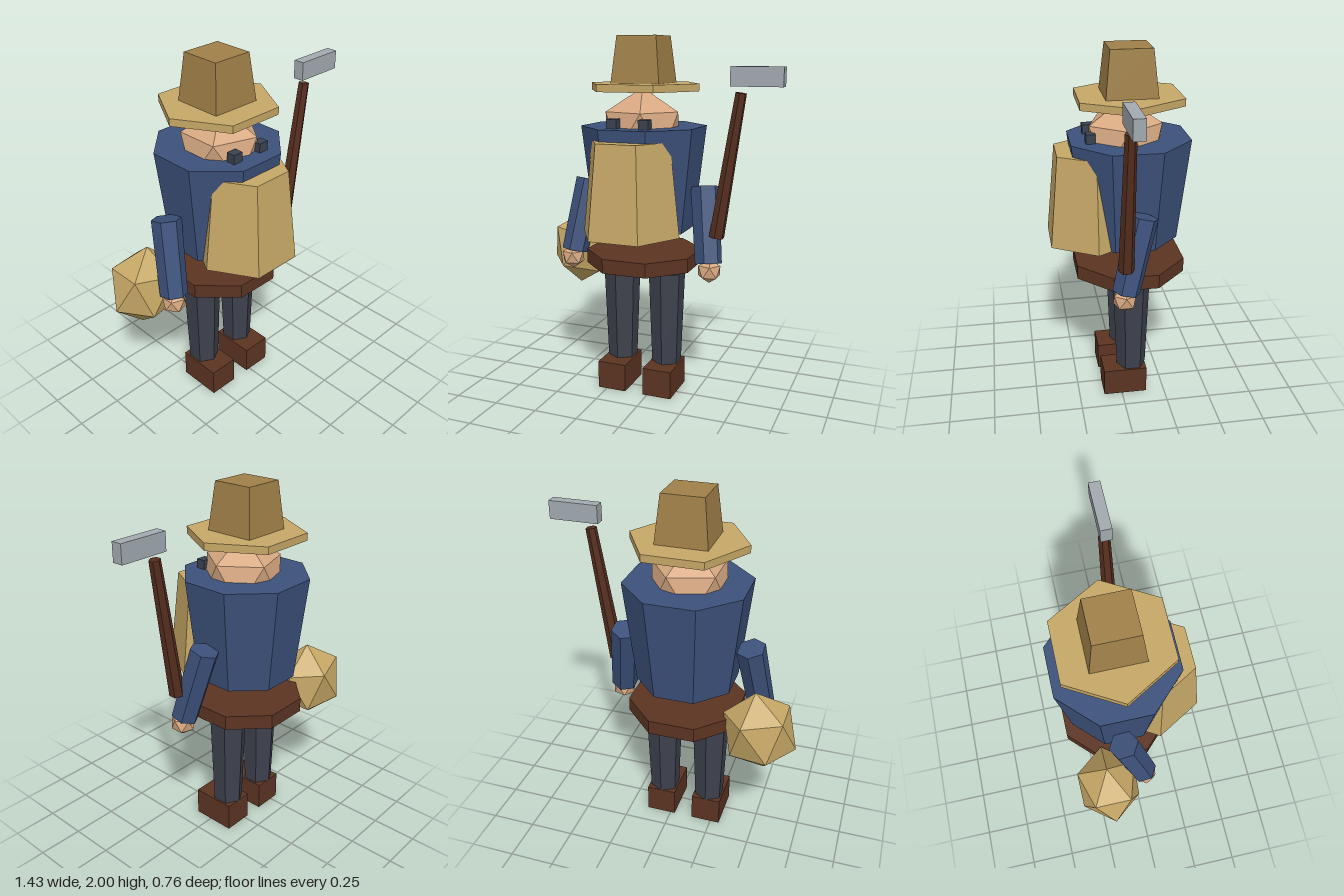
import * as THREE from 'three';

const mat = (name, color) => {
  const m = new THREE.MeshStandardMaterial({ color });
  m.name = name;
  return m;
};

export function createModel() {
  const blue = mat('blue cloth', 0x3c517b);
  const straw = mat('straw', 0xc6a766);
  const felt = mat('brown felt', 0xa08048);
  const skin = mat('skin', 0xd8a982);
  const leather = mat('leather', 0x5c3422);
  const wood = mat('dark wood', 0x562e1e);
  const slate = mat('slate cloth', 0x3e414d);
  const steel = mat('steel', 0xa2aab0);
  const dark = mat('eye dark', 0x3a4251);

  const model = new THREE.Group();
  model.name = 'worker';
  const CX = -0.08, CZ = -0.065; // body axis

  const add = (name, geometry, material, x, y, z) => {
    const geo = geometry.index ? geometry.toNonIndexed() : geometry;
    geo.computeVertexNormals(); // flat facets
    const mesh = new THREE.Mesh(geo, material);
    mesh.name = name;
    mesh.position.set(x, y, z);
    model.add(mesh);
    return mesh;
  };

  // Upright tapered prism from y0 to y1
  const prism = (name, material, sides, rBottom, rTop, y0, y1, x, z, turn = 0) =>
    add(name, new THREE.CylinderGeometry(rTop, rBottom, y1 - y0, sides).rotateY(turn),
      material, x, (y0 + y1) / 2, z);

  // Tapered six-sided rod between two points
  const rod = (name, material, from, to, rFrom, rTo) => {
    const a = new THREE.Vector3(...from), b = new THREE.Vector3(...to);
    const dir = b.clone().sub(a);
    const mid = a.clone().add(b).multiplyScalar(0.5);
    const mesh = add(name, new THREE.CylinderGeometry(rTo, rFrom, dir.length(), 6),
      material, mid.x, mid.y, mid.z);
    mesh.quaternion.setFromUnitVectors(new THREE.Vector3(0, 1, 0), dir.normalize());
    return mesh;
  };

  // Twenty-sided ball standing on a corner
  const ball = (name, material, rx, ry, rz, x, y, z) =>
    add(name, new THREE.IcosahedronGeometry(1, 0)
      .rotateZ(-Math.atan(2 / (1 + Math.sqrt(5)))).scale(rx, ry, rz), material, x, y, z);

  const box = (name, material, w, h, d, x, y, z) =>
    add(name, new THREE.BoxGeometry(w, h, d), material, x, y, z);

  // Body
  prism('torso', blue, 8, 0.28, 0.346, 0.95, 1.52, CX, CZ, Math.PI / 8);
  prism('apron', straw, 6, 0.28, 0.224, 0.95, 1.457, CX, 0.134, Math.PI / 6);
  prism('belt', leather, 8, 0.327, 0.327, 0.74, 0.82, CX, CZ, Math.PI / 8);

  // Head and hat
  ball('head', skin, 0.23, 0.23, 0.23, CX, 1.497, -0.043);
  prism('hatBrim', straw, 6, 0.315, 0.315, 1.71, 1.75, CX, CZ, Math.PI / 6);
  prism('hatCrown', felt, 4, 0.195, 0.158, 1.75, 2.0, CX, CZ, Math.PI / 4);

  // Paired parts, mirrored about the body axis
  for (const [side, s] of [['left', 1], ['right', -1]]) {
    box(side + 'Eye', dark, 0.058, 0.058, 0.05, CX + s * 0.09, 1.541, 0.15);
    rod(side + 'Arm', blue, [CX + s * 0.405, 0.79, 0.01], [CX + s * 0.348, 1.195, -0.09],
      0.075, 0.08);
    ball(side + 'Hand', skin, 0.07, 0.07, 0.07, CX + s * 0.412, 0.755, 0.018);
    prism(side + 'Leg', slate, 6, 0.085, 0.105, 0.16, 0.7, CX + s * 0.138, CZ);
    box(side + 'Boot', leather, 0.168, 0.16, 0.25, CX + s * 0.138, 0.08, -0.02);
  }

  // Sack at the right hip
  ball('sack', straw, 0.21, 0.235, 0.188, -0.52, 0.765, -0.195).rotation.z = -0.14;

  // Hammer
  rod('hammerHandle', wood, [0.37, 0.945, 0.018], [0.485, 1.71, 0.018], 0.042, 0.03);
  box('hammerHead', steel, 0.273, 0.1, 0.06, 0.57, 1.793, 0.02);

  return model;
}
